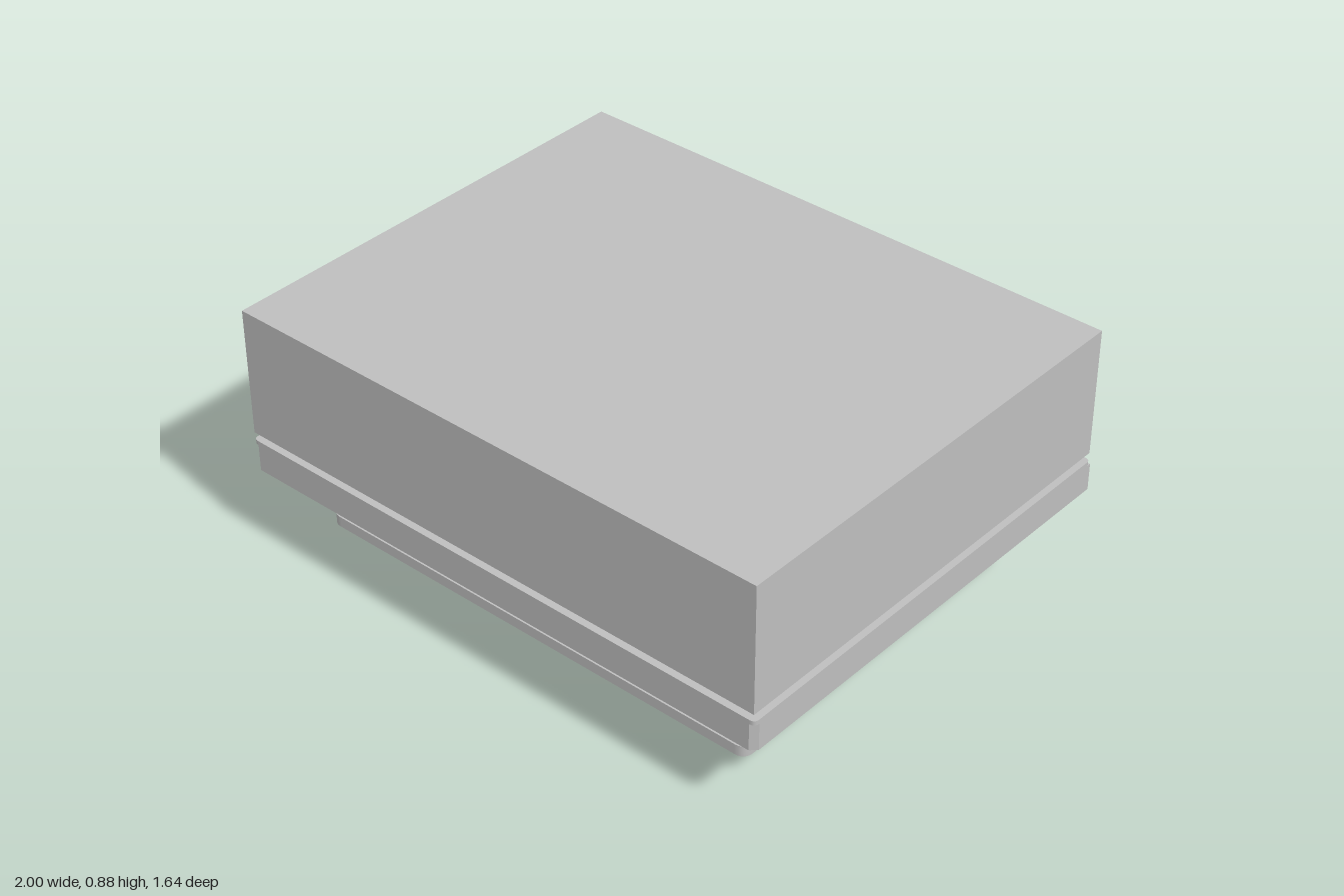
import * as THREE from 'three';

const grey = new THREE.MeshStandardMaterial({ color: 0xbebebe });
grey.name = 'light grey';

// Rounded rectangle outline in plan, given by x and z limits
function outline(x0, x1, z0, z1, r, Type = THREE.Shape) {
  const a = -z1, b = -z0, s = new Type();
  s.moveTo(x0 + r, a);
  s.lineTo(x1 - r, a);
  s.quadraticCurveTo(x1, a, x1, a + r);
  s.lineTo(x1, b - r);
  s.quadraticCurveTo(x1, b, x1 - r, b);
  s.lineTo(x0 + r, b);
  s.quadraticCurveTo(x0, b, x0, b - r);
  s.lineTo(x0, a + r);
  s.quadraticCurveTo(x0, a, x0 + r, a);
  return s;
}

function circleHole(x, z, r) {
  const p = new THREE.Path();
  p.absarc(x, -z, r, 0, Math.PI * 2, true);
  return p;
}

export function createModel() {
  const model = new THREE.Group();
  model.name = 'enclosure';

  const add = (name, geometry) => {
    const m = new THREE.Mesh(geometry, grey);
    m.name = name;
    model.add(m);
    return m;
  };
  const box = (name, x0, x1, y0, y1, z0, z1) =>
    add(name, new THREE.BoxGeometry(x1 - x0, y1 - y0, z1 - z0))
      .position.set((x0 + x1) / 2, (y0 + y1) / 2, (z0 + z1) / 2);
  const disc = (name, x, z, r, y0, y1) =>
    add(name, new THREE.CylinderGeometry(r, r, y1 - y0, 40)).position.set(x, (y0 + y1) / 2, z);
  const slab = (name, shape, y0, y1) => {
    const g = new THREE.ExtrudeGeometry(shape, { depth: y1 - y0, bevelEnabled: false, curveSegments: 24 });
    g.rotateX(-Math.PI / 2);
    add(name, g).position.y = y0;
  };

  // Upper cover
  box('cover', -0.995, 0.995, 0.43, 0.875, -0.775, 0.815);

  // Tray: ceiling with skirt on front and sides, open at the back
  slab('trayTop', outline(-1, 1, -0.777, 0.817, 0.02), 0.39, 0.405);
  const skirt = new THREE.Shape();
  [[-1, 0.777], [-1, -0.797], [-0.98, -0.817], [0.98, -0.817], [1, -0.797], [1, 0.777],
    [0.985, 0.777], [0.985, -0.802], [-0.985, -0.802], [-0.985, 0.777]]
    .forEach(([x, y], i) => (i ? skirt.lineTo(x, y) : skirt.moveTo(x, y)));
  slab('traySkirt', skirt, 0.295, 0.39);

  // Rear latches
  for (const x of [-0.645, 0.645]) {
    box('latchBase', x - 0.085, x + 0.085, 0.305, 0.395, -0.82, -0.775);
    box('latchTab', x - 0.065, x + 0.065, 0.395, 0.525, -0.812, -0.775);
  }

  // Central dial: plate and spindle above the tray, stepped hub below
  disc('dialPlate', -0.115, 0.075, 0.155, 0.415, 0.43);
  disc('dialSpindle', -0.115, 0.075, 0.022, 0.405, 0.415);
  disc('dialHub', -0.115, 0.075, 0.102, 0.265, 0.39);
  disc('dialCap', -0.115, 0.075, 0.067, 0.205, 0.265);

  // Drum at the left rear, with pierced flange and collar above
  const flangeShape = (x, z, bore) => {
    const s = new THREE.Shape();
    s.absarc(x, -z, 0.19, 0, Math.PI * 2, false);
    if (bore) s.holes.push(circleHole(x, z, bore));
    for (let i = 0; i < 3; i++) {
      const a = 0.5 + i * Math.PI * 2 / 3;
      s.holes.push(circleHole(x + 0.155 * Math.cos(a), z + 0.155 * Math.sin(a), 0.012));
    }
    return s;
  };
  slab('drumFlange', flangeShape(0.75, -0.395, 0.055), 0.345, 0.39);
  disc('drumCollar', 0.75, -0.395, 0.098, 0.405, 0.43);
  disc('pin', 0.6, -0.19, 0.018, 0.405, 0.43);

  // Knob at the right rear
  slab('knobFlange', flangeShape(-0.72, -0.48, 0), 0.378, 0.39);
  disc('knob', -0.72, -0.48, 0.11, 0.255, 0.378);

  // Base: raised rim, web, and inset panel leaving a groove underneath
  const frame = outline(-0.843, 0.843, -0.62, 0.665, 0.04);
  frame.holes.push(outline(-0.805, 0.805, -0.582, 0.627, 0.02, THREE.Path));
  slab('baseRim', frame, 0.075, 0.112);
  slab('baseWeb', outline(-0.81, 0.81, -0.587, 0.632, 0.02), 0.09, 0.098);
  slab('basePanel', outline(-0.785, 0.785, -0.562, 0.607, 0.02), 0.075, 0.09);
  const bead = outline(-0.785, 0.785, -0.562, 0.607, 0.02);
  bead.holes.push(outline(-0.765, 0.765, -0.542, 0.587, 0.015, THREE.Path));
  slab('baseBead', bead, 0.098, 0.108);

  // Posts and feet
  for (const x of [-0.355, 0.355]) {
    for (const z of [-0.443, 0.49]) {
      disc('post', x, z, 0.065, 0.098, 0.39);
      disc('footNeck', x, z, 0.064, 0.055, 0.075);
      disc('foot', x, z, 0.08, 0, 0.055);
    }
  }

  // Internal module on four standoffs
  box('innerModule', -0.23, 0.225, 0.125, 0.28, -0.575, -0.065);
  for (const x of [-0.178, 0.172]) {
    for (const z of [-0.528, -0.118]) disc('standoff', x, z, 0.022, 0.098, 0.125);
  }

  return model;
}
